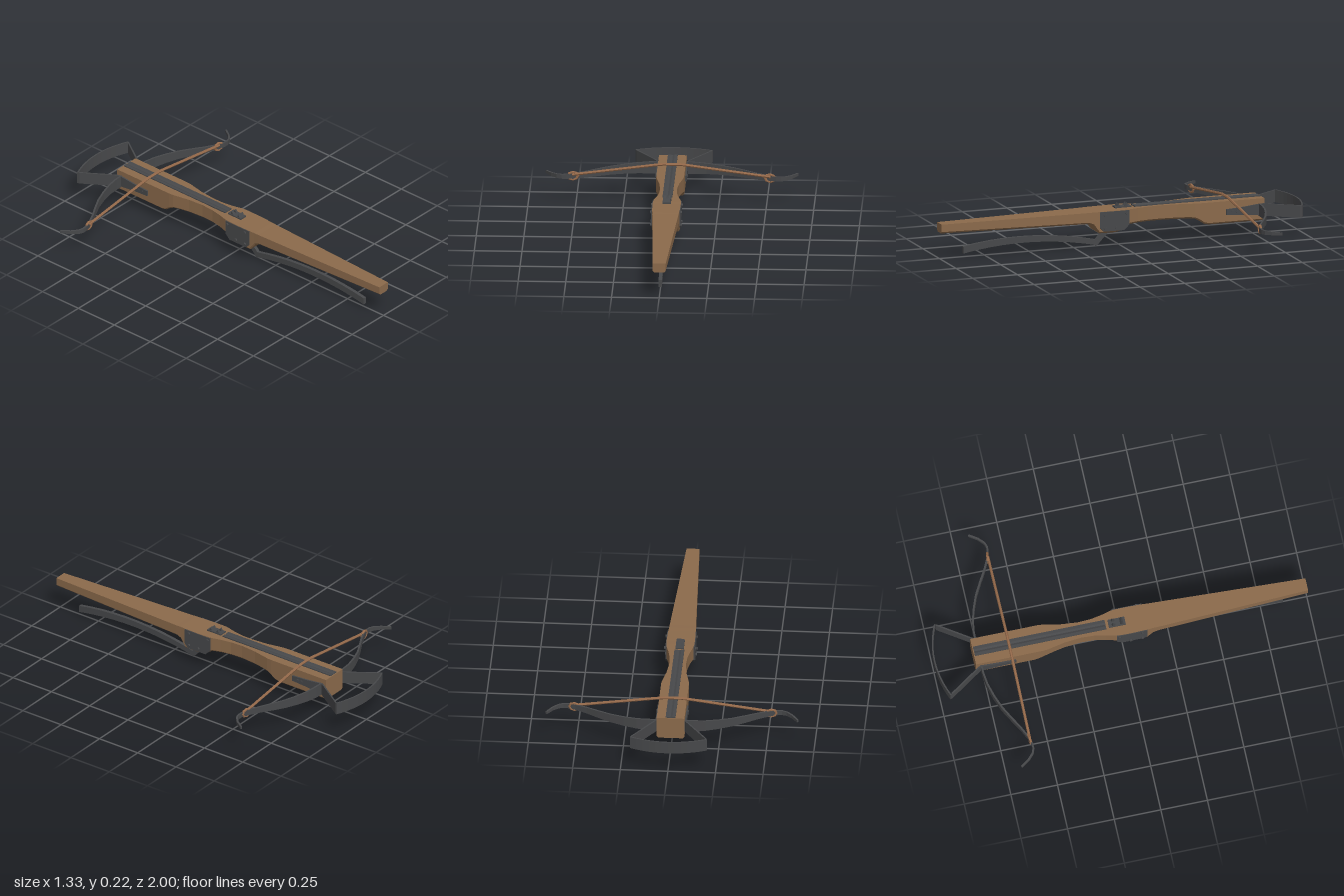
import * as THREE from 'three';

const wood = new THREE.MeshStandardMaterial({ name: 'wood', color: 0x8b6a4b });
const metal = new THREE.MeshStandardMaterial({ name: 'dark metal', color: 0x47484a });
const cord = new THREE.MeshStandardMaterial({ name: 'cord', color: 0x94694a });
for (const m of [wood, metal, cord]) m.flatShading = true;

// Skin a list of equal-length rings and cap both ends
function loft(rings) {
  const n = rings[0].length, pos = rings.flat(2), idx = [];
  for (let i = 0; i < rings.length - 1; i++) {
    for (let j = 0; j < n; j++) {
      const a = i * n + j, b = i * n + (j + 1) % n;
      idx.push(a, b, b + n, a, b + n, a + n);
    }
  }
  const last = (rings.length - 1) * n;
  for (let j = 1; j < n - 1; j++) idx.push(0, j + 1, j, last, last + j, last + j + 1);
  const g = new THREE.BufferGeometry();
  g.setAttribute('position', new THREE.Float32BufferAttribute(pos, 3));
  g.setIndex(idx);
  const flat = g.toNonIndexed();
  flat.computeVertexNormals();
  return flat;
}

// Upright flat bar following [x, z, halfHeight] points at height y
function ribbon(pts, y, half) {
  return loft(pts.map(([x, z, h], i) => {
    const p = pts[Math.max(i - 1, 0)], q = pts[Math.min(i + 1, pts.length - 1)];
    const l = Math.hypot(q[0] - p[0], q[1] - p[1]);
    const nx = (q[1] - p[1]) / l * half, nz = -(q[0] - p[0]) / l * half;
    return [[x - nx, y - h, z - nz], [x + nx, y - h, z + nz], [x + nx, y + h, z + nz], [x - nx, y + h, z - nz]];
  }));
}

// Extrude a [z, y] side outline across x, from x0 to x0 + width
function sideExtrude(outline, x0, width) {
  const s = new THREE.Shape(outline.map(([z, y]) => new THREE.Vector2(-z, y)));
  const g = new THREE.ExtrudeGeometry(s, { depth: width, bevelEnabled: false });
  return g.rotateY(Math.PI / 2).translate(x0, 0, 0);
}

const mirrored = half => [...half.slice().reverse().map(([x, z, h]) => [-x, z, h]), ...half];

export function createModel() {
  const model = new THREE.Group();
  model.name = 'crossbow';
  const add = (name, geo, mat) => {
    const m = new THREE.Mesh(geo, mat);
    m.name = name;
    model.add(m);
    return m;
  };

  // Wooden stock: z, half width, bottom, top
  const stock = [
    [-0.79, 0.073, 0.08, 0.199], [-0.48, 0.073, 0.08, 0.199], [-0.455, 0.073, 0.086, 0.199],
    [-0.43, 0.073, 0.104, 0.199], [-0.405, 0.071, 0.116, 0.199], [-0.37, 0.064, 0.119, 0.199],
    [-0.31, 0.052, 0.119, 0.199], [-0.22, 0.044, 0.119, 0.199], [-0.15, 0.047, 0.119, 0.198],
    [-0.09, 0.058, 0.119, 0.198], [-0.04, 0.071, 0.117, 0.198], [-0.015, 0.073, 0.1, 0.198],
    [0.02, 0.074, 0.084, 0.197], [0.05, 0.074, 0.08, 0.197], [0.13, 0.072, 0.08, 0.196],
    [0.145, 0.071, 0.1, 0.196], [0.16, 0.07, 0.122, 0.196], [0.19, 0.069, 0.134, 0.195], [1, 0.034, 0.14, 0.189],
  ];
  add('stock', loft(stock.map(([z, w, b, t]) => {
    const c = 0.009;
    return [[-w + c, b, z], [w - c, b, z], [w, b + c, z], [w, t, z], [-w, t, z], [-w, b + c, z]];
  })), wood);

  // Grooved bolt rail on top
  const rail = new THREE.Shape();
  [[-0.026, 0.19], [0.026, 0.19], [0.026, 0.204], [0.01, 0.204], [0, 0.2], [-0.01, 0.204], [-0.026, 0.204]]
    .forEach(([x, y], i) => (i ? rail.lineTo(x, y) : rail.moveTo(x, y)));
  add('boltRail', new THREE.ExtrudeGeometry(rail, { depth: 0.705, bevelEnabled: false }).translate(0, 0, -0.785), metal);

  // String catch with two rows of teeth
  add('catchBase', new THREE.BoxGeometry(0.044, 0.014, 0.09).translate(0, 0.198, -0.02), metal);
  add('rearTooth', sideExtrude([[0.016, 0.2], [0.004, 0.221], [-0.006, 0.2]], -0.018, 0.036), metal);
  for (const x of [-0.018, 0.007]) {
    add('frontTooth', sideExtrude([[-0.025, 0.2], [-0.042, 0.222], [-0.05, 0.2]], x, 0.011), metal);
  }

  // Bow limbs in one bar through the stock
  const limb = [
    [0.06, -0.762, 0.033], [0.12, -0.76, 0.032], [0.18, -0.752, 0.029], [0.25, -0.732, 0.026], [0.32, -0.705, 0.023],
    [0.39, -0.667, 0.02], [0.45, -0.632, 0.017], [0.51, -0.603, 0.015], [0.55, -0.592, 0.013], [0.575, -0.591, 0.012],
    [0.6, -0.6, 0.011], [0.63, -0.628, 0.009], [0.66, -0.673, 0.007],
  ];
  add('bowLimbs', ribbon(mirrored(limb), 0.14, 0.005), metal);

  // Foot stirrup with straps along the stock
  const stirrup = [];
  for (let i = 0; i <= 6; i++) {
    const x = 0.2 * i / 6;
    stirrup.push([x, -0.996 + 0.043 * (i / 6) ** 2, 0.033]);
  }
  stirrup.push([0.195, -0.945, 0.033], [0.085, -0.78, 0.033], [0.077, -0.765, 0.031], [0.077, -0.66, 0.02], [0.077, -0.575, 0.015]);
  add('stirrup', ribbon(mirrored(stirrup.slice(1)).toSpliced(stirrup.length - 1, 0, stirrup[0]), 0.141, 0.004), metal);

  // Bowstring resting on the rail, with a loop on each limb
  const string = new THREE.CurvePath();
  const knots = [[-0.52, 0.148], [-0.05, 0.211], [0.05, 0.211], [0.52, 0.148]].map(([x, y]) => new THREE.Vector3(x, y, -0.598));
  for (let i = 0; i < 3; i++) string.add(new THREE.LineCurve3(knots[i], knots[i + 1]));
  add('bowstring', new THREE.TubeGeometry(string, 24, 0.0075, 6), cord);

  for (const s of [-1, 1]) {
    const loop = add('stringLoop', new THREE.TorusGeometry(0.023, 0.007, 6, 8).scale(1.15, 0.9, 1), cord);
    loop.position.set(s * 0.517, 0.141, -0.6);
    loop.rotation.y = -s * 0.15;

    // Lock plate and its bolts
    add('sidePlate', sideExtrude([[0.13, 0.195], [-0.034, 0.195], [-0.034, 0.118], [-0.005, 0.09], [0.11, 0.09], [0.13, 0.112]],
      s > 0 ? 0.068 : -0.077, 0.009), metal);
    const bolts = [[0.102, 0.108], [0.04, 0.108], [-0.02, 0.178], [0.102, 0.178], [-0.61, 0.14], [-0.635, 0.14]];
    for (const [z, y] of bolts) {
      add('bolt', new THREE.CylinderGeometry(0.008, 0.008, 0.012, 8).rotateZ(Math.PI / 2).translate(s * 0.078, y, z), metal);
    }
  }

  // Long trigger lever under the stock
  const top = [], bottom = [];
  for (let i = 0; i <= 10; i++) {
    const t = i / 10, z = 0.13 + 0.74 * t, arc = 0.05 * (1 - (2 * t - 1) ** 2) * 0.76;
    top.push([z, 0.035 + 0.02 * t + arc]);
    bottom.push([z, 0.006 + 0.012 * t + arc]);
  }
  add('triggerLever', sideExtrude([...top, ...bottom.reverse(), [0.125, 0], [0.04, 0.09], [0.075, 0.09]], -0.009, 0.018), metal);

  return model;
}
